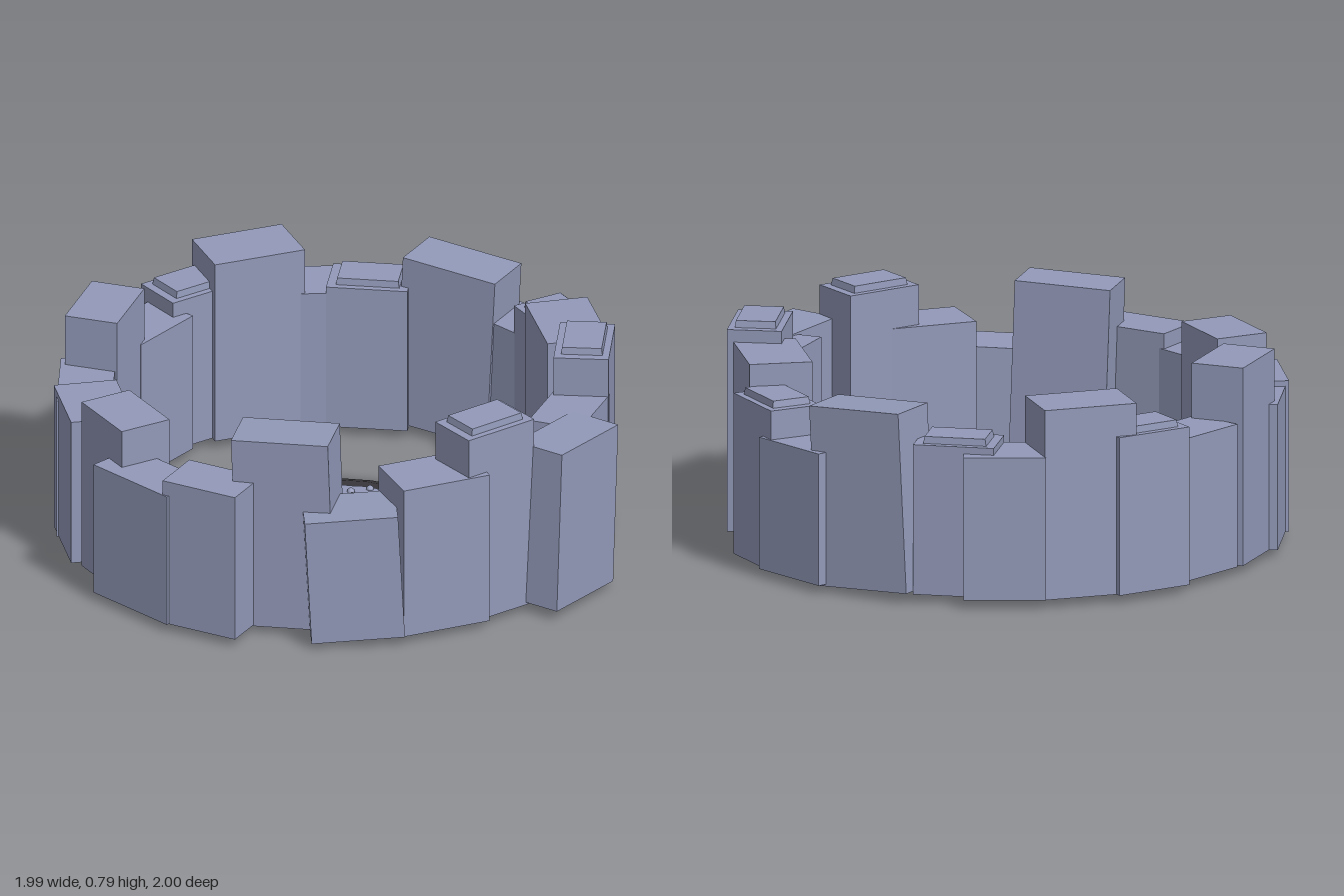
import * as THREE from 'three';

const stone = new THREE.MeshStandardMaterial({ color: 0x9299b8 });
stone.name = 'blueGreyStone';
const charcoal = new THREE.MeshStandardMaterial({ color: 0x38363a });
charcoal.name = 'charcoal';

const BASE_Y = 0.03;
const rad = THREE.MathUtils.degToRad;

// Plain ring stones: angle from the front, distance from the centre, width, top height, optional lean
const PLAIN = [
  [-10, 0.87, 0.33, 0.50, 3], [10, 0.85, 0.33, 0.60], [42, 0.97, 0.35, 0.63, -3],
  [56, 0.87, 0.30, 0.62], [90, 0.83, 0.34, 0.72], [121, 0.91, 0.32, 0.51],
  [138, 0.88, 0.37, 0.68, 3], [170, 0.88, 0.29, 0.55], [188, 0.87, 0.34, 0.72],
  [219, 0.86, 0.30, 0.55], [238, 0.87, 0.30, 0.75], [254, 0.89, 0.35, 0.56],
  [268, 0.88, 0.31, 0.58], [287, 0.87, 0.28, 0.67], [301, 0.93, 0.37, 0.53],
  [318, 0.93, 0.29, 0.585], [334, 0.80, 0.35, 0.75, 2],
];

// Stones that carry a raised cap: angle, distance, top height
const CAPPED = [[24, 0.85, 0.77], [72, 0.87, 0.79], [107, 0.90, 0.64], [159, 0.85, 0.60], [202, 0.90, 0.63]];

function add(parent, name, geometry, material, x = 0, y = 0, z = 0) {
  const mesh = new THREE.Mesh(geometry, material);
  mesh.name = name;
  mesh.position.set(x, y, z);
  parent.add(mesh);
  return mesh;
}

// Moves each vertex sideways by the factor that scale(x, y, z) returns
function scaleOutline(geometry, scale) {
  const p = geometry.attributes.position;
  for (let i = 0; i < p.count; i++) {
    const [x, y, z] = [p.getX(i), p.getY(i), p.getZ(i)];
    const k = scale(x, y, z);
    p.setXYZ(i, x * k, y, z * k);
  }
  geometry.computeVertexNormals();
  return geometry;
}

function makeStone(angle, distance, width, depth, top, lean, capHeight) {
  const block = new THREE.Group();
  block.name = 'ringStone';
  const a = rad(angle);
  const height = top - BASE_Y - capHeight;
  add(block, 'stoneBody', new THREE.BoxGeometry(width, height, depth), stone);
  if (capHeight > 0) {
    const cap = new THREE.BoxGeometry(width * 0.78, capHeight, depth * 0.75);
    scaleOutline(cap, (x, y) => (y > 0 ? 0.96 : 1));
    add(block, 'stoneCap', cap, stone, 0, (height + capHeight) / 2, 0);
  }
  block.position.set(distance * Math.sin(a), BASE_Y + height / 2, distance * Math.cos(a));
  block.rotation.set(0, a, rad(lean), 'YXZ');
  return block;
}

export function createModel() {
  const model = new THREE.Group();
  model.name = 'firePit';

  // Ring of upright stones; those facing front, back and sides are thicker
  const ring = new THREE.Group();
  ring.name = 'stoneRing';
  for (const [angle, distance, width, top, lean = 0] of PLAIN) {
    const depth = Math.abs(Math.sin(rad(2 * angle))) < 0.36 ? 0.225 : 0.195;
    ring.add(makeStone(angle, distance, width, depth, top, lean, 0));
  }
  for (const [angle, distance, top] of CAPPED) {
    ring.add(makeStone(angle, distance, 0.29, 0.195, top, 0, 0.025));
  }
  model.add(ring);

  // Charred base with a sloping rim
  add(model, 'charredBase', new THREE.CylinderGeometry(0.35, 0.405, 0.02, 24), charcoal, 0, 0.01, 0);

  // Shallow ash bed with a ragged edge
  const ash = new THREE.CylinderGeometry(0.29, 0.30, 0.012, 48);
  scaleOutline(ash, (x, y, z) => 1 + 0.015 * Math.sin(12 * Math.atan2(z, x)));
  add(model, 'ashBed', ash, stone, 0, 0.024, 0);

  // Cinders around the back and sides of the ash
  for (let i = 0; i < 16; i++) {
    const a = rad(65 + 13 * i);
    const r = 0.25 + 0.03 * Math.sin(2.3 * i);
    const size = 0.018 + 0.006 * Math.sin(1.7 * i);
    add(model, 'cinder', new THREE.SphereGeometry(size, 10, 6), stone, r * Math.sin(a), 0.03, r * Math.cos(a));
  }

  // Charred streaks lying diagonally across the ash
  for (let row = -3; row <= 3; row++) {
    for (let i = -3; i <= 3; i++) {
      const u = i * 0.07 + row * 0.013;
      const v = row * 0.075;
      if (Math.hypot(u, v) > 0.26 || (row + i) % 3 === 0) continue;
      const streak = add(model, 'charStreak', new THREE.BoxGeometry(0.035, 0.002, 0.006), charcoal,
        (u + v) * Math.SQRT1_2, 0.031, (v - u) * Math.SQRT1_2);
      streak.rotation.y = Math.PI / 4;
    }
  }
  return model;
}
